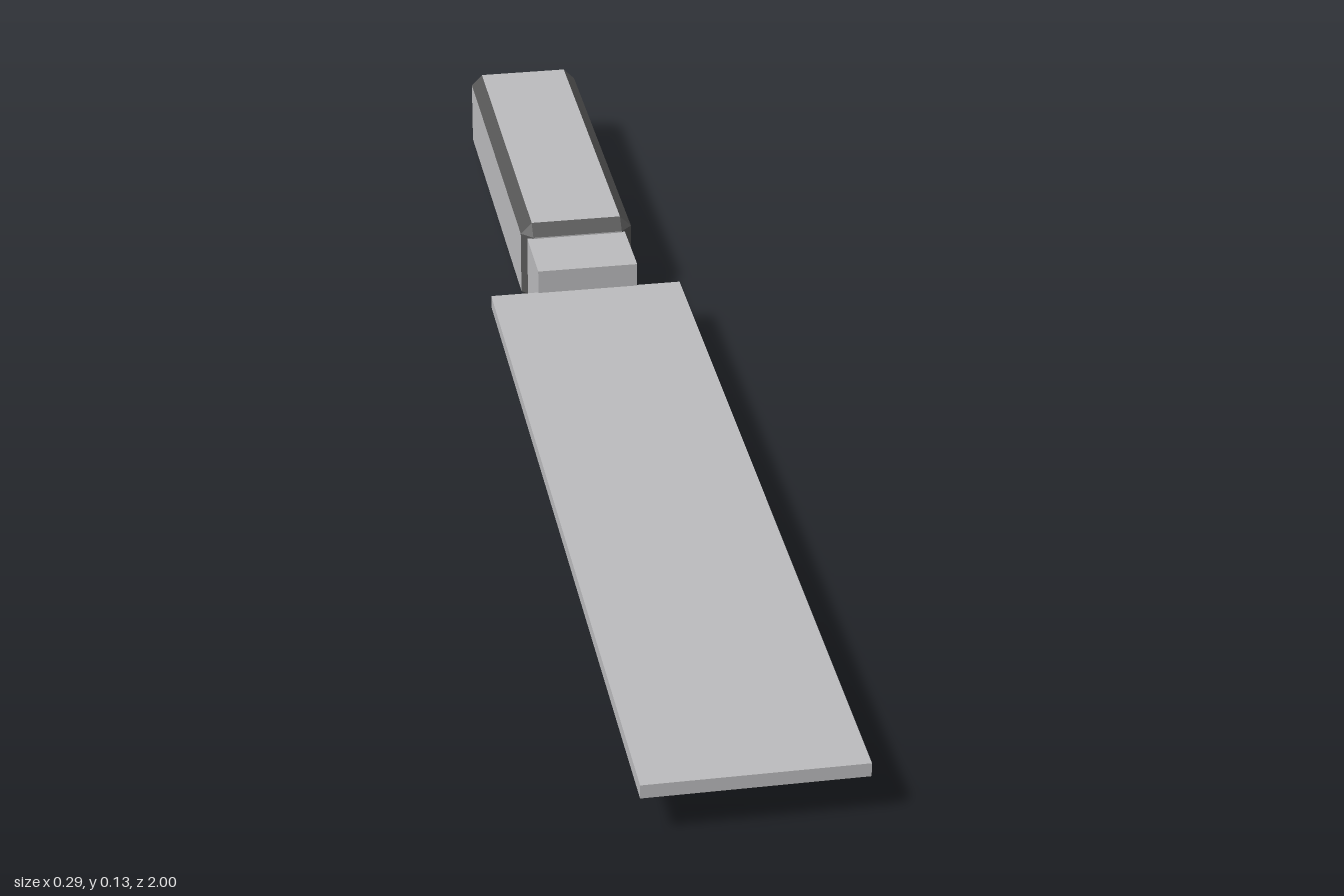
import * as THREE from 'three';
import { ConvexGeometry } from 'three/addons/geometries/ConvexGeometry.js';

const steel = new THREE.MeshStandardMaterial({ color: 0xbbbbbd });
steel.name = 'light grey';
const edge = new THREE.MeshStandardMaterial({ color: 0x555555 });
edge.name = 'dark grey';

// Box given by its lower and upper corner
function box(name, min, max) {
  const size = max.map((v, i) => v - min[i]);
  const mesh = new THREE.Mesh(new THREE.BoxGeometry(...size), steel);
  mesh.position.set(...max.map((v, i) => (v + min[i]) / 2));
  mesh.name = name;
  return mesh;
}

// Box with cut edges: light flat panels, dark chamfers and corners
function chamferedBox(name, size, cut) {
  const points = [];
  for (const sx of [-1, 1]) for (const sy of [-1, 1]) for (const sz of [-1, 1]) {
    const s = [sx, sy, sz];
    for (let axis = 0; axis < 3; axis++) {
      points.push(new THREE.Vector3(...s.map((v, i) => v * (size[i] / 2 - (i === axis ? 0 : cut)))));
    }
  }
  const hull = new ConvexGeometry(points);
  const pos = hull.attributes.position, nor = hull.attributes.normal;
  const panels = [], chamfers = [];
  for (let i = 0; i < pos.count; i += 3) {
    const flat = Math.max(Math.abs(nor.getX(i)), Math.abs(nor.getY(i)), Math.abs(nor.getZ(i))) > 0.99;
    (flat ? panels : chamfers).push(...pos.array.slice(i * 3, i * 3 + 9));
  }
  const group = new THREE.Group();
  group.name = name;
  for (const [part, list, material] of [['Panels', panels, steel], ['Chamfers', chamfers, edge]]) {
    const geo = new THREE.BufferGeometry();
    geo.setAttribute('position', new THREE.Float32BufferAttribute(list, 3));
    geo.computeVertexNormals();
    const mesh = new THREE.Mesh(geo, material);
    mesh.name = name + part;
    group.add(mesh);
  }
  return group;
}

export function createModel() {
  const model = new THREE.Group();
  model.name = 'cleaver';

  model.add(box('blade', [-0.143, 0.058, -0.302], [0.143, 0.077, 1]));
  model.add(box('collar', [-0.072, 0.021, -0.412], [0.078, 0.113, -0.3]));

  // Grip, slightly off the blade's centre line
  const handle = chamferedBox('handle', [0.17, 0.132, 0.591], 0.017);
  handle.position.set(0.005, 0.066, -0.7045);
  model.add(handle);

  return model;
}
